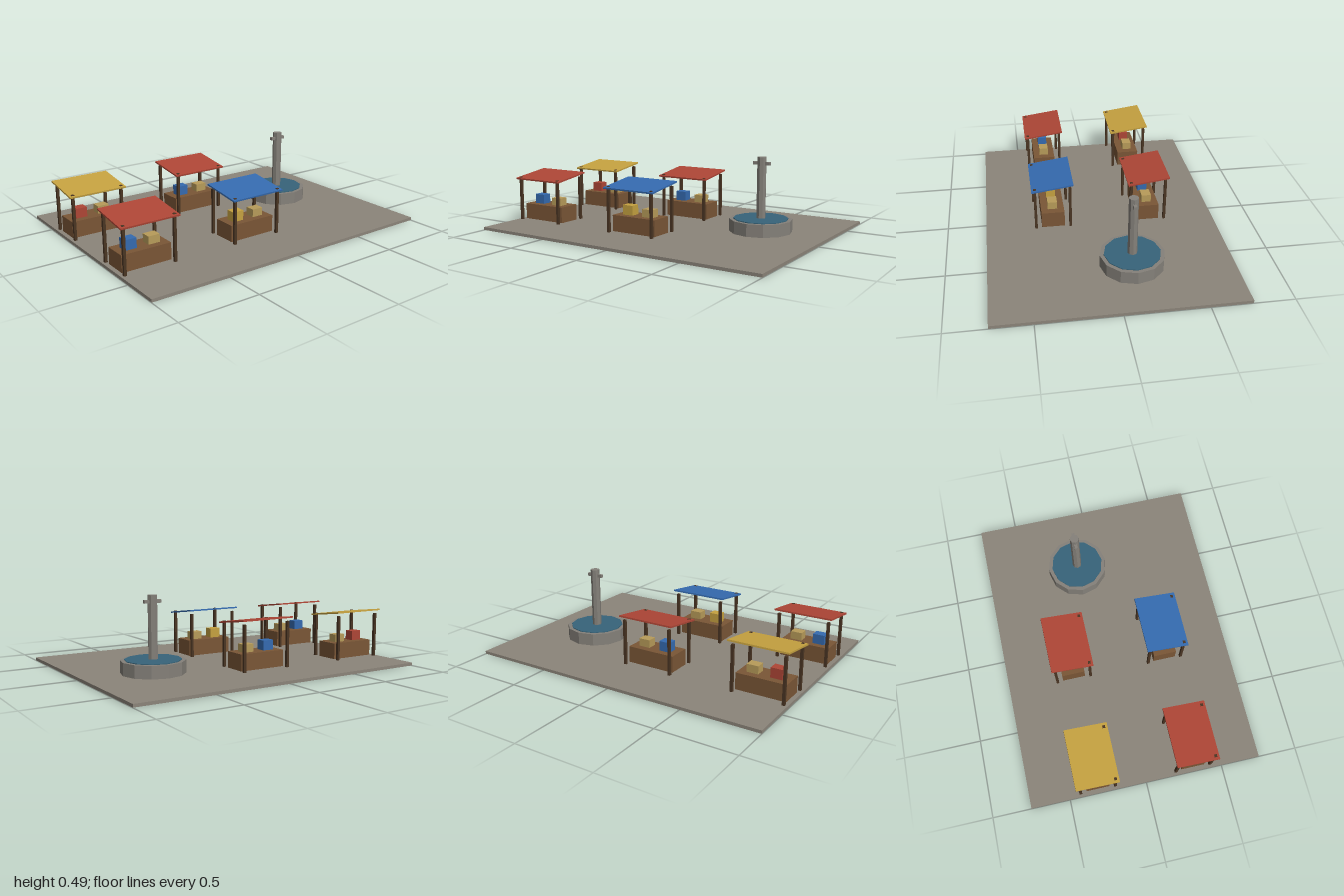
import * as THREE from 'three';

const mat = (name, color) => {
  const m = new THREE.MeshStandardMaterial({ color });
  m.name = name;
  return m;
};

export function createModel() {
  const paving = mat('paving', 0x8c857a);
  const stone = mat('stone', 0x85817a);
  const water = mat('water', 0x37647a);
  const wood = mat('wood', 0x7a5636);
  const post = mat('dark wood', 0x4a3523);
  const straw = mat('straw', 0xb89c5a);
  const red = mat('red', 0xae4636);
  const blue = mat('blue', 0x356bb0);
  const yellow = mat('yellow', 0xc6a240);

  const model = new THREE.Group();
  model.name = 'marketSquare';

  const add = (parent, name, geometry, material, x, y, z) => {
    const mesh = new THREE.Mesh(geometry, material);
    mesh.name = name;
    mesh.position.set(x, y, z);
    parent.add(mesh);
    return mesh;
  };
  const box = (w, h, d) => new THREE.BoxGeometry(w, h, d);
  // Faceted prism with hard edges
  const prism = (r, h, sides) => {
    const g = new THREE.CylinderGeometry(r, r, h, sides).toNonIndexed();
    g.computeVertexNormals();
    return g;
  };

  // Ground slab, its underside a hair above the feet of the stalls
  add(model, 'ground', box(2, 0.019, 1.5), paving, 0, 0.0105, 0);

  // Market stall: counter, four posts, sloping awning, two crates
  const stall = (x, z, awningColor, crateColor) => {
    const g = new THREE.Group();
    g.name = 'stall';
    g.position.set(x, 0, z);
    add(g, 'counter', box(0.32, 0.125, 0.15), wood, 0, 0.0625, 0);
    for (const sx of [-1, 1]) {
      for (const sz of [-1, 1]) {
        add(g, 'post', box(0.017, 0.3125, 0.017), post, sx * 0.1625, 0.15625, sz * 0.1125);
      }
    }
    const awning = add(g, 'awning', box(0.375, 0.01, 0.272), awningColor, 0, 0.32, 0);
    awning.rotation.x = 0.135;
    add(g, 'tallCrate', box(0.075, 0.0625, 0.0625), crateColor, -0.075, 0.15625, 0);
    add(g, 'shortCrate', box(0.075, 0.05, 0.0625), straw, 0.075, 0.15, 0);
    model.add(g);
  };
  stall(-0.8125, 0.3125, red, blue);
  stall(-0.0625, 0.3125, blue, yellow);
  stall(-0.8125, -0.3125, yellow, red);
  stall(-0.0625, -0.3125, red, blue);

  // Fountain: basin, water, column and spout bar
  const fountain = new THREE.Group();
  fountain.name = 'fountain';
  fountain.position.set(0.5625, 0, -0.125);
  add(fountain, 'basin', prism(0.2, 0.1, 12), stone, 0, 0.05, 0);
  add(fountain, 'waterSurface', prism(0.175, 0.008, 12), water, 0, 0.101, 0);
  add(fountain, 'column', prism(0.03, 0.4, 8), stone, 0, 0.293, 0);
  add(fountain, 'spouts', box(0.1125, 0.02, 0.02), stone, 0, 0.453, 0);
  model.add(fountain);

  return model;
}
